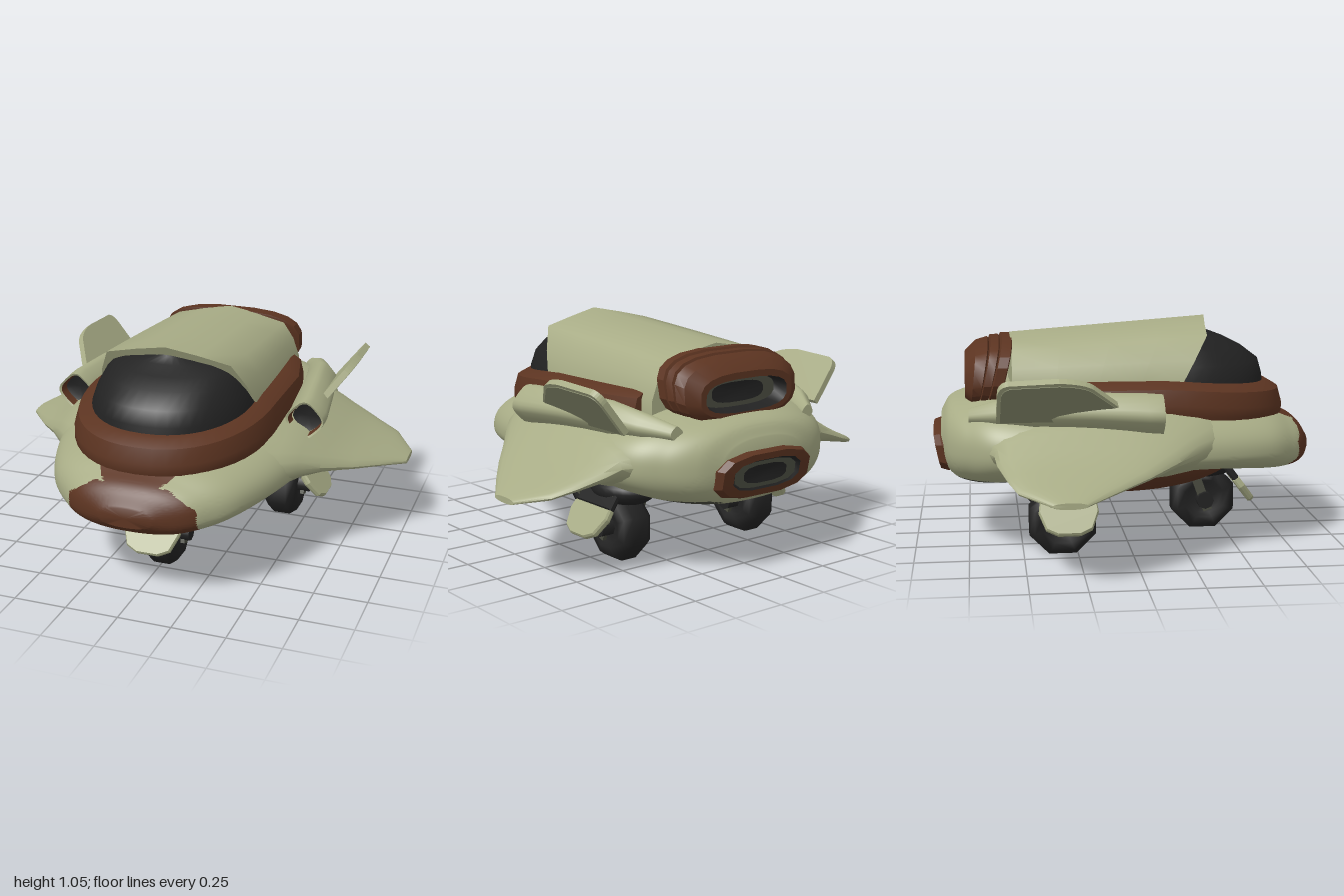
import * as THREE from 'three';
import { toCreasedNormals } from 'three/addons/utils/BufferGeometryUtils.js';

const paint = (name, color, side = THREE.DoubleSide) => {
  const m = new THREE.MeshStandardMaterial({ color, side });
  m.name = name;
  return m;
};
const V = (x, y, z) => new THREE.Vector3(x, y, z);

// point on a rounded-rectangle-like oval
function oval(a, e) {
  const c = Math.cos(a), s = Math.sin(a);
  return [Math.sign(c) * Math.abs(c) ** e, Math.sign(s) * Math.abs(s) ** e];
}
function ovalRing(n, e, place, offset = 0) {
  return Array.from({ length: n }, (_, i) => place(...oval((i / n) * Math.PI * 2 + offset, e)));
}

// skin a list of closed rings, with optional end caps, faces turned outward
function loft(rings, { capA = true, capB = true, crease = 0.7 } = {}) {
  const n = rings[0].length, pts = rings.flat(), idx = [];
  for (let r = 0; r < rings.length - 1; r++)
    for (let i = 0; i < n; i++) {
      const a = r * n + i, b = r * n + (i + 1) % n;
      idx.push(a, b, a + n, b, b + n, a + n);
    }
  const cap = (r, flip) => {
    const mid = V(0, 0, 0);
    rings[r].forEach(p => mid.addScaledVector(p, 1 / n));
    const c = pts.push(mid) - 1;
    for (let i = 0; i < n; i++) {
      const a = r * n + i, b = r * n + (i + 1) % n;
      idx.push(...(flip ? [c, b, a] : [c, a, b]));
    }
  };
  if (capA) cap(0, true);
  if (capB) cap(rings.length - 1, false);
  const centre = new THREE.Box3().setFromPoints(pts).getCenter(V(0, 0, 0));
  let volume = 0;
  for (let i = 0; i < idx.length; i += 3) {
    const [a, b, c] = [0, 1, 2].map(k => pts[idx[i + k]].clone().sub(centre));
    volume += a.dot(b.cross(c));
  }
  if (volume < 0) idx.reverse();
  const g = new THREE.BufferGeometry().setFromPoints(pts);
  g.setIndex(idx);
  return toCreasedNormals(g, crease);
}

export function createModel() {
  const model = new THREE.Group();
  const green = paint('sage green', 0xa8ac86, THREE.FrontSide), brown = paint('rust brown', 0x5c3421);
  const black = paint('black', 0x222222), grey = paint('dark olive grey', 0x4a4c40);
  const dull = paint('dull olive', 0x888c6e, THREE.FrontSide);
  const add = (name, geo, mat, parent = model) => {
    const m = new THREE.Mesh(geo, mat);
    m.name = name;
    parent.add(m);
    return m;
  };

  // hull: z, half width, bottom, middle, top
  const hullRows = [
    [0.9, 0.12, 0.39, 0.43, 0.48], [0.85, 0.25, 0.35, 0.43, 0.55], [0.78, 0.34, 0.33, 0.44, 0.59],
    [0.65, 0.45, 0.33, 0.46, 0.64], [0.4, 0.55, 0.35, 0.47, 0.68], [0.1, 0.61, 0.35, 0.48, 0.71],
    [-0.3, 0.62, 0.33, 0.49, 0.73], [-0.6, 0.58, 0.3, 0.5, 0.73], [-0.75, 0.47, 0.3, 0.5, 0.7],
    [-0.83, 0.36, 0.34, 0.49, 0.67], [-0.87, 0.23, 0.42, 0.5, 0.61]];
  const plan = new THREE.CatmullRomCurve3(hullRows.map(r => V(r[0], r[1], r[2])), false, 'catmullrom');
  const side = new THREE.CatmullRomCurve3(hullRows.map(r => V(r[0], r[3], r[4])), false, 'catmullrom');
  const hullRings = Array.from({ length: 101 }, (_, k) => {
    const p = plan.getPoint(k / 100), q = side.getPoint(k / 100);
    return ovalRing(120, 0.85, (c, s) => V(p.y * c, q.y + s * (s > 0 ? q.z - q.y : q.y - p.z), p.x));
  });
  const hull = loft(hullRings);
  // brown nose patch with a neck up to the cockpit rim, grey patches under the tail
  const pos = hull.attributes.position;
  const hullColour = (x, y, z) => {
    const nose = z > 0.77 && y < 0.56 && x < 0.3 - Math.max(0, y - 0.48) * 1.6;
    const neck = z > 0.6 && y > 0.5 && x < 0.13 + Math.max(0, y - 0.56) * 1.2;
    if (nose || neck) return 1;
    return z < -0.58 && z > -0.8 && y < 0.345 && x > 0.18 ? 2 : 0;
  };
  let start = 0, last = -1;
  for (let i = 0; i <= pos.count; i += 3) {
    let kind = -2;
    if (i < pos.count) {
      const mid = get => (pos[get](i) + pos[get](i + 1) + pos[get](i + 2)) / 3;
      kind = hullColour(Math.abs(mid('getX')), mid('getY'), mid('getZ'));
    }
    if (kind !== last) {
      if (last >= 0) hull.addGroup(start, i - start, last);
      start = i;
      last = kind;
    }
  }
  add('hull', hull, [green, brown, grey]);

  // belly with a dark underside
  const bellyPart = (name, from, length, mat) => {
    const g = new THREE.SphereGeometry(1, 40, 16, 0, Math.PI * 2, from, length);
    g.scale(0.49, 0.185, 0.6).translate(0, 0.405, -0.03);
    add(name, g, mat);
  };
  bellyPart('belly', Math.PI / 2, Math.PI / 2 - 0.62, brown);
  bellyPart('bellyPanel', Math.PI - 0.62, 0.62, black);
  const blister = (name, x, y, z, ...size) =>
    add(name, new THREE.SphereGeometry(1, 24, 12).scale(...size).translate(x, y, z), black);
  blister('rearBellyPanel', 0, 0.3, -0.28, 0.3, 0.07, 0.24);

  // long D-shaped outline: half width, front z, height, rise toward the back
  const outline = (w, f, y, rise, base, rear) => {
    const ring = Array.from({ length: 25 }, (_, i) => {
      const [c, s] = oval((i / 24) * Math.PI, 0.9);
      return V(w * c, 0, base + (f - base) * s);
    });
    const mid = base + (rear - base) * 0.6;
    ring.push(V(-w, 0, mid), V(-w * 0.87, 0, rear), V(w * 0.87, 0, rear), V(w, 0, mid));
    ring.forEach(p => { p.y = y + rise * Math.min(0.6, 0.78 - p.z); });
    return ring;
  };
  add('cockpitRim', loft([[0.45, 0.75, 0.54], [0.475, 0.78, 0.6], [0.475, 0.78, 0.64], [0.455, 0.76, 0.71], [0.4, 0.7, 0.74], [0.3, 0.6, 0.74]]
    .map(([w, f, y]) => outline(w, f, y, 0.09, 0.15, -0.47)), { crease: 0.6 }), brown);
  add('canopy', loft([[0.385, 0.69, 0.7], [0.38, 0.68, 0.78], [0.355, 0.66, 0.85], [0.325, 0.58, 0.91], [0.3, 0.5, 0.95], [0.265, 0.42, 0.98], [0.13, 0.38, 1.005], [0.02, 0.36, 1.03]]
    .map(([w, f, y]) => outline(w, f, y, 0, 0.22, 0.2))), black);

  // canopy cover: x, y, front z, rear y
  const arch = [[0.39, 0.68, 0.2, 0.68], [0.39, 0.78, 0.24, 0.76], [0.355, 0.88, 0.3, 0.85], [0.3, 0.99, 0.365, 0.925], [0.15, 1.025, 0.38, 0.96], [0, 1.055, 0.4, 0.985]];
  const fullArch = [...arch, ...arch.slice(0, -1).reverse().map(([x, ...r]) => [-x, ...r])];
  add('canopyCover', loft([0, 0.25, 0.5, 0.75, 1].map(t => fullArch.map(([x, y, zf, yr]) =>
    V(x * (1 - 0.06 * t * t), y + (yr - y) * t, zf + (-0.54 - zf) * t))), { crease: 1.1 }), green);

  // rear nozzles: rows of z, half width, centre y, half height, tilt
  const nozzle = (name, rows, hole, n) => {
    const rings = list => list.map(([z, w, yc, h, tilt]) =>
      ovalRing(n, 0.7, (c, s) => V(w * c, yc + h * s, z + h * s * tilt), Math.PI / n));
    add(name, loft(rings([...rows, hole[0]]), { capB: false, crease: 0.5 }), brown);
    add(name + 'Throat', loft(rings(hole), { capA: false, capB: false }), black);
    const [z, w, yc, h, tilt] = hole[1];
    add(name + 'Back', loft(rings([hole[1], [z, w * 0.7, yc, h * 0.7, tilt]]), { capA: false, capB: false }), grey);
    add(name + 'Core', loft(rings([[z, w * 0.7, yc, h * 0.7, tilt], [z + 0.005, w * 0.3, yc, h * 0.3, tilt]]), { capA: false }), black);
  };
  nozzle('upperNozzle', [
    [-0.565, 0.34, 0.82, 0.14, 0.25], [-0.57, 0.36, 0.82, 0.15, 0.25], [-0.615, 0.36, 0.82, 0.15, 0.25], [-0.62, 0.34, 0.82, 0.135, 0.25],
    [-0.625, 0.355, 0.815, 0.147, 0.22], [-0.66, 0.35, 0.815, 0.145, 0.2], [-0.665, 0.33, 0.81, 0.132, 0.2], [-0.67, 0.345, 0.81, 0.142, 0.18],
    [-0.715, 0.33, 0.8, 0.135, 0.1], [-0.755, 0.27, 0.785, 0.1, 0]],
  [[-0.755, 0.24, 0.78, 0.075, 0], [-0.69, 0.22, 0.785, 0.065, 0]], 20);
  nozzle('lowerNozzle', [[-0.76, 0.27, 0.45, 0.1, -0.2], [-0.86, 0.28, 0.45, 0.11, -0.2], [-0.89, 0.26, 0.45, 0.1, -0.2]],
    [[-0.892, 0.2, 0.45, 0.07, -0.2], [-0.878, 0.185, 0.45, 0.06, -0.1]], 12);

  // landing gear helpers
  const wheel = (x, z) => {
    const gear = new THREE.Group();
    gear.name = 'landingGear';
    gear.position.set(x, 0.155, z);
    model.add(gear);
    const prof = [[0.02, -0.06], [0.08, -0.06], [0.1, -0.085], [0.14, -0.075], [0.166, -0.04], [0.166, 0.04], [0.14, 0.075], [0.1, 0.085], [0.08, 0.06], [0.02, 0.06]];
    const tyre = new THREE.LatheGeometry(prof.map(p => new THREE.Vector2(...p)), 8);
    add('tyre', tyre.rotateY(Math.PI / 8).rotateZ(Math.PI / 2), black, gear);
    add('axle', new THREE.CylinderGeometry(0.042, 0.042, 0.25, 8).rotateZ(Math.PI / 2), black, gear);
    for (const s of [-1, 1]) {
      const leg = add('strut', new THREE.BoxGeometry(0.02, 0.24, 0.045), grey, gear);
      leg.position.set(s * 0.093, 0.06, -0.025);
      leg.rotation.x = -0.35;
    }
    blister('wheelWell', x * 0.95, 0.33, z, 0.14, 0.08, 0.18);
  };
  const gearDoor = (x, z, turn) => {
    const plate = (name, corners, mat) => {
      const s = new THREE.Shape(corners.map(p => new THREE.Vector2(...p)));
      const g = new THREE.ExtrudeGeometry(s, { depth: 0.015, bevelSize: 0.006, bevelThickness: 0.01, bevelSegments: 1 });
      add(name, g.rotateX(-0.64).rotateY(turn).translate(x, 0.235, z), mat);
    };
    plate('gearDoor', [[-0.125, 0.02], [-0.13, -0.02], [-0.1, -0.1], [-0.05, -0.125], [0.05, -0.125], [0.1, -0.1], [0.13, -0.02], [0.125, 0.02]], green);
    plate('gearDoorHinge', [[-0.115, 0.12], [-0.12, 0.03], [0.12, 0.03], [0.115, 0.12]], black);
  };
  wheel(0, 0.4);
  gearDoor(0, 0.56, 0);

  for (const s of [1, -1]) {
    // wing: x, front z, rear z, y, half thickness
    const wing = [[0.4, 0.5, -0.7, 0.52, 0.18], [0.52, 0.4, -0.67, 0.51, 0.15], [0.6, 0.3, -0.63, 0.505, 0.11], [0.68, 0.19, -0.62, 0.48, 0.07],
      [0.8, 0.04, -0.58, 0.44, 0.042], [0.9, -0.1, -0.54, 0.41, 0.028], [1, -0.25, -0.4, 0.375, 0.014]];
    add('wing', loft(wing.map(([x, f, r, y, h]) => ovalRing(24, 0.9, (c, d) =>
      V(s * x, y + h * d, (f + r) / 2 + c * (f - r) / 2)))), green);

    // side pod with a lined intake
    const podRing = (x, y, z, r) => ovalRing(20, 0.6, (c, d) =>
      V(s * (x + r * (c - d) * 0.707), y + r * (c + d) * 0.707, z));
    add('sidePod', loft([podRing(0.58, 0.675, 0.115, 0.07), podRing(0.58, 0.675, 0.12, 0.079), podRing(0.58, 0.68, 0.05, 0.08),
      podRing(0.55, 0.69, -0.2, 0.074), podRing(0.515, 0.69, -0.45, 0.068), podRing(0.46, 0.67, -0.62, 0.052), podRing(0.39, 0.65, -0.74, 0.03)],
    { capA: false }), green);
    add('intakeLining', loft([podRing(0.58, 0.675, 0.115, 0.07), podRing(0.58, 0.675, 0.07, 0.064)], { capA: false, capB: false }), brown);
    add('intake', loft([podRing(0.585, 0.68, 0.07, 0.064), podRing(0.585, 0.68, 0.06, 0.04)], { capA: false }), black);

    // leaning tail fin with an outer panel
    const finShape = new THREE.Shape();
    finShape.moveTo(0.06, -0.03).lineTo(0.07, 0.05);
    finShape.lineTo(0.2, 0.18).quadraticCurveTo(0.24, 0.215, 0.35, 0.222).lineTo(0.57, 0.21);
    finShape.quadraticCurveTo(0.61, 0.2, 0.615, 0.15).lineTo(0.62, -0.03);
    const lean = g => g.rotateY(Math.PI / 2).rotateZ(-s * 0.66).translate(s * 0.585, 0.68, 0);
    add('tailFin', lean(new THREE.ExtrudeGeometry(finShape, { depth: 0.03, bevelEnabled: false, curveSegments: 6 }).translate(0, 0, -0.015)), green);
    add('finPanel', lean(new THREE.ExtrudeGeometry(finShape, { depth: 0.004, bevelEnabled: false, curveSegments: 6 })
      .translate(-0.34, -0.05, -0.002).scale(0.94, 0.9, 1).translate(0.34, 0.05, s * 0.016)), dull);

    wheel(s * 0.38, -0.32);
    gearDoor(s * 0.515, -0.3, s * Math.PI / 2);
  }
  return model;
}
